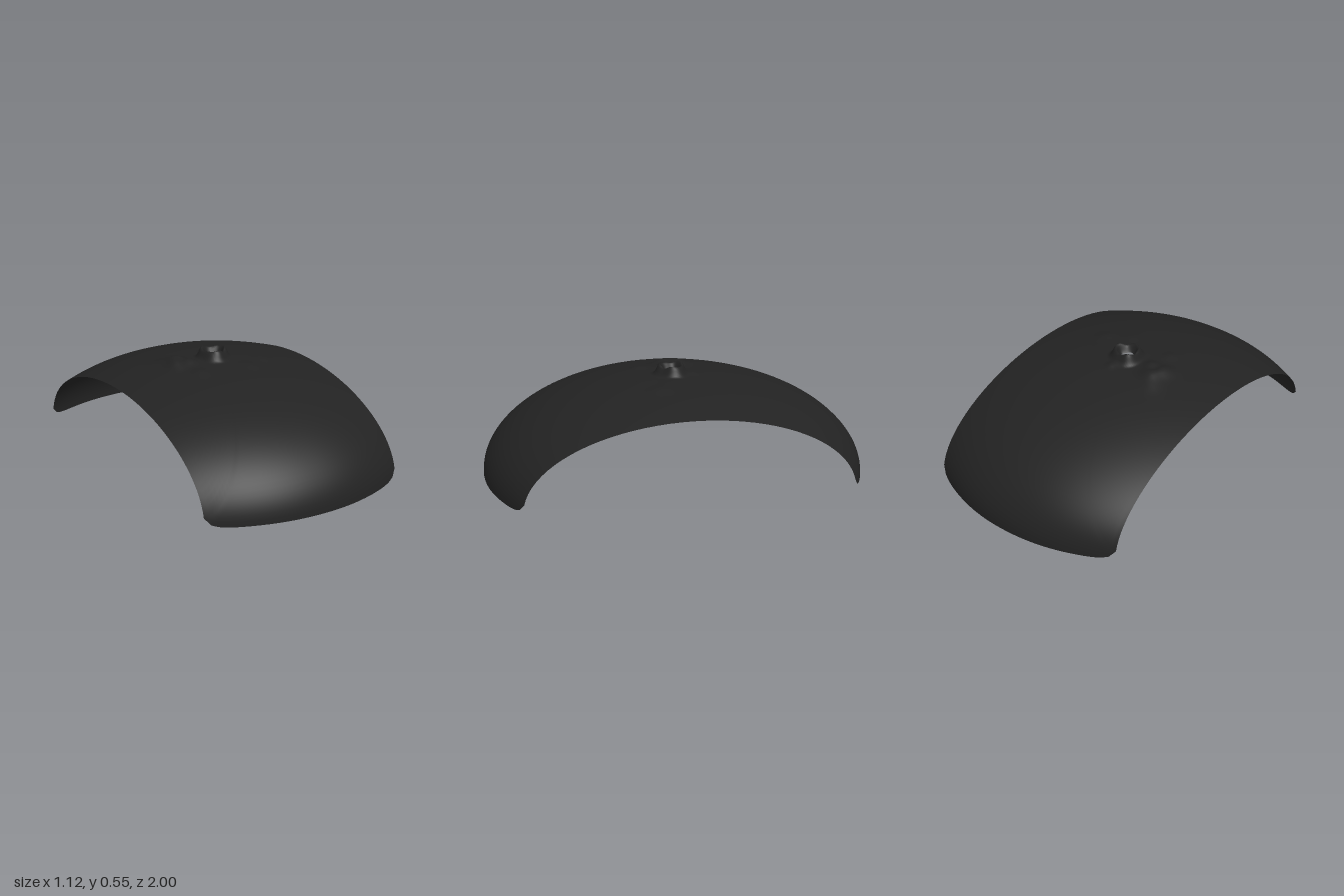
import * as THREE from 'three';

const HALF_W = 0.56, TOP = 0.497, SEGS = 160, RINGS = 52;

// Soft round bumps and dents around the hole: x, z, radius, height
const BUMPS = [
  [-0.2, -0.06, 0.055, 0.033], [-0.23, 0.01, 0.045, 0.026], [-0.15, 0.01, 0.04, 0.02],
  [-0.25, -0.12, 0.05, 0.01], [-0.19, -0.02, 0.025, -0.014], [-0.17, 0.15, 0.04, 0.012],
  [0.11, 0.18, 0.05, 0.007], [0.23, 0.11, 0.05, 0.011], [0.16, 0.03, 0.06, 0.004],
  [0.02, -0.11, 0.03, 0.012],
];

// Raised ragged rim plus the bumps
function relief(x, z) {
  const r = Math.hypot(x, z), a = Math.atan2(z, x);
  const rimR = 0.06 + 0.005 * Math.cos(3 * a + 0.6);
  const rimH = 0.05 + 0.006 * Math.cos(3 * a + 0.4) + 0.003 * Math.sin(5 * a);
  let h = rimH * Math.exp(-(((r - rimR) / 0.02) ** 2));
  for (const [bx, bz, br, bh] of BUMPS)
    h += bh * Math.exp(-((x - bx) ** 2 + (z - bz) ** 2) / (br * br));
  return h;
}

// Double-curved arch: x across, w the angle along the arch
function surfacePoint(x, w) {
  const s = 1 - 0.155 * Math.pow(Math.abs(x) / HALF_W, 2.1);
  const c = Math.max(0, (Math.abs(x) - 0.42) / (HALF_W - 0.42));
  const cornerY = 0.048 * (1 - Math.sqrt(Math.max(0, 1 - c ** 3)));
  const low = Math.asin(cornerY / (TOP * s));
  const t = w * (1 - low / (Math.PI / 2));
  const z = s * Math.sin(t);
  return [x, Math.max(0, TOP * s * Math.cos(t)) + relief(x, z), z];
}

// Point on the outline of a unit square, k in 0..1, starting at its +x side
function squarePoint(k) {
  const side = Math.floor(k * 4 + 0.5) % 4;
  const f = ((k * 4 + 0.5) % 1) * 2 - 1;
  return [[1, f], [-f, 1], [-1, -f], [f, -1]][side];
}

export function createModel() {
  const group = new THREE.Group();
  group.name = 'curvedPlate';
  const black = new THREE.MeshStandardMaterial({ color: 0x222222, side: THREE.DoubleSide });
  black.name = 'black';

  // Rings run from the round hole out to the straight border
  const positions = [], index = [];
  for (let i = 0; i <= RINGS; i++) {
    const t = (i / RINGS) ** 2;
    for (let j = 0; j < SEGS; j++) {
      const [u, v] = squarePoint(j / SEGS);
      const a = Math.atan2(v, u);
      const hole = 0.032 + 0.004 * Math.cos(3 * a + 1);
      const x = THREE.MathUtils.lerp(hole * Math.cos(a), u * HALF_W, t);
      const w = THREE.MathUtils.lerp(hole * Math.sin(a), v * Math.PI / 2, t);
      positions.push(...surfacePoint(x, w));
      if (i < RINGS) {
        const p = i * SEGS + j, q = i * SEGS + (j + 1) % SEGS;
        index.push(p, q, p + SEGS, q, q + SEGS, p + SEGS);
      }
    }
  }
  const geometry = new THREE.BufferGeometry();
  geometry.setAttribute('position', new THREE.Float32BufferAttribute(positions, 3));
  geometry.setIndex(index);
  geometry.computeVertexNormals();

  const shell = new THREE.Mesh(geometry, black);
  shell.name = 'shell';
  group.add(shell);
  return group;
}
